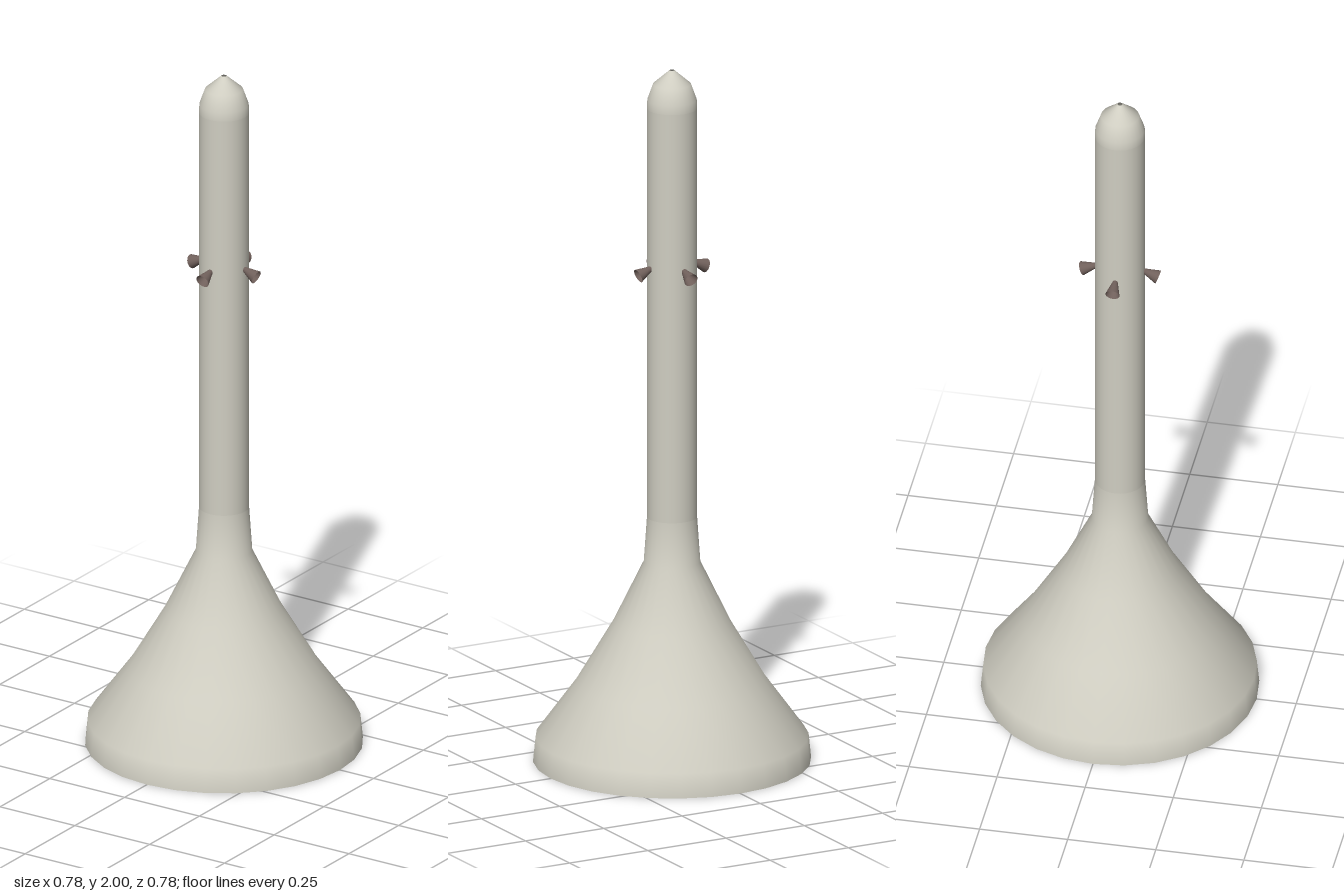
import * as THREE from 'three';

const SIDES = 28;
const hull = new THREE.MeshStandardMaterial({ color: 0xd0cec2, side: THREE.DoubleSide });
hull.name = 'warmGrey';
const metal = new THREE.MeshStandardMaterial({ color: 0x70605b, side: THREE.DoubleSide });
metal.name = 'nozzleBrown';

// open shell of revolution from [radius, height] pairs, bottom to top
function shell(name, profile, material, sides = SIDES) {
  const points = profile.map(([r, y]) => new THREE.Vector2(r, y));
  const mesh = new THREE.Mesh(new THREE.LatheGeometry(points, sides), material);
  mesh.name = name;
  return mesh;
}

export function createModel() {
  const model = new THREE.Group();
  model.name = 'escapeTower';

  // flared hollow cover at the base
  model.add(shell('baseCover', [
    [0.388, 0], [0.381, 0.07], [0.268, 0.225], [0.164, 0.4], [0.079, 0.575], [0.07, 0.705],
  ], hull));

  // straight tube built from stacked sections
  const seams = [0.705, 1.04, 1.38, 1.68, 1.89];
  for (let i = 0; i < seams.length - 1; i++) {
    model.add(shell('tubeSection' + (i + 1), [[0.07, seams[i]], [0.07, seams[i + 1]]], hull));
  }

  // rounded nose with a small opening at the tip
  model.add(shell('noseCap', [
    [0.07, 1.89], [0.069, 1.915], [0.053, 1.96], [0.007, 2.0],
  ], hull));

  // four nozzles around the tube, canted downwards
  for (let i = 0; i < 4; i++) {
    const pivot = new THREE.Group();
    pivot.name = 'nozzleMount' + (i + 1);
    pivot.rotation.y = i * Math.PI / 2;
    const nozzle = shell('nozzle', [[0.007, 0], [0.011, 0.014], [0.02, 0.044]], metal, 16);
    nozzle.position.set(0.067, 1.434, 0);
    nozzle.rotation.z = -Math.PI / 2 - 0.38;
    // recessed back wall inside the bell
    const throat = new THREE.Mesh(new THREE.CircleGeometry(0.011, 16), metal);
    throat.name = 'nozzleThroat';
    throat.rotation.x = -Math.PI / 2;
    throat.position.y = 0.014;
    nozzle.add(throat);
    pivot.add(nozzle);
    model.add(pivot);
  }
  return model;
}
